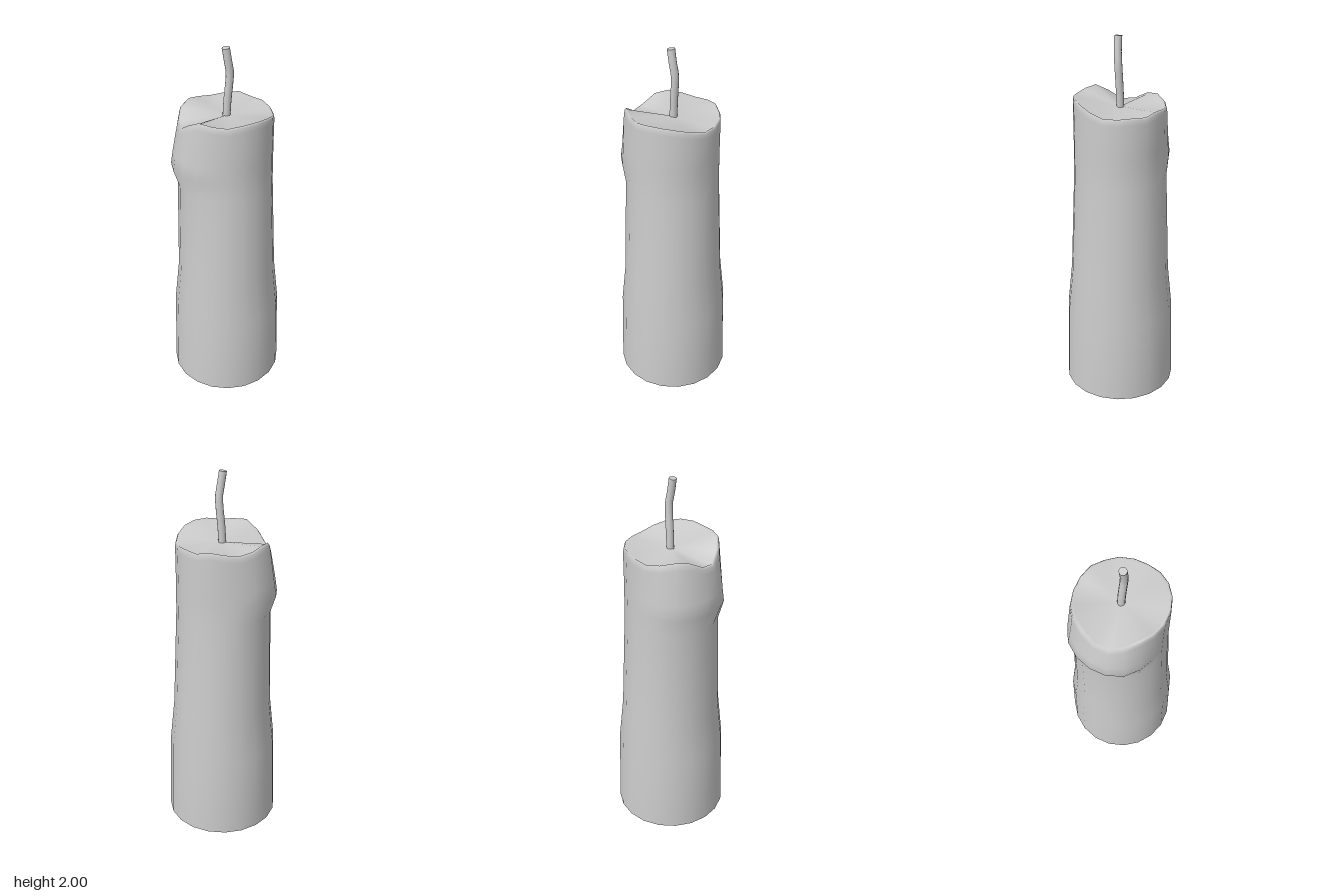
import * as THREE from 'three';

const SIDES = 20;
const wax = new THREE.MeshStandardMaterial({ color: 0xcccccc });

// Height of the melted rim at each of the sides, from +x round through +z
const RIM = [1.64, 1.64, 1.66, 1.68, 1.69, 1.69, 1.68, 1.685, 1.69, 1.65,
  1.60, 1.61, 1.65, 1.66, 1.645, 1.635, 1.645, 1.655, 1.64, 1.645];

// Strength (0..1) of the overflowed wax bulge, strongest towards -x and -z
function bulge(a) {
  const d = Math.abs(THREE.MathUtils.radToDeg(a) - 212);
  return 1 - THREE.MathUtils.smoothstep(d, 25, 90);
}

// Rows of the wax: radius, added bulge, height (below 0.1 means relative to the rim)
const ROWS = [
  { r: 0.307, b: 0, y: 0 },
  { r: 0.295, b: 0, y: 0.46 },
  { r: 0.27, b: 0, y: 0.7 },
  { r: 0.245, b: 0.013, y: 1.26 },
  { r: 0.244, b: 0.046, y: 1.36 },
  { r: 0.243, b: 0.035, y: 1.44 },
  { r: 0.243, b: 0.01, rim: -0.035 },
  { r: 0.241, b: 0.006, rim: -0.01 },
  { r: 0.235, b: 0.003, rim: 0 },
  { r: 0.226, b: 0.002, rim: -0.008 },
];

function buildWax() {
  const pos = [], index = [];
  for (const row of ROWS) {
    for (let i = 0; i < SIDES; i++) {
      const a = (i + 0.5) / SIDES * Math.PI * 2;
      const r = row.r + row.b * bulge(a);
      const y = row.rim === undefined ? row.y : RIM[i] + row.rim;
      pos.push(Math.cos(a) * r, y, Math.sin(a) * r);
    }
  }
  const last = (ROWS.length - 1) * SIDES;
  const centre = pos.length / 3;
  pos.push(0, 1.633, 0);
  for (let i = 0; i < SIDES; i++) {
    const n = (i + 1) % SIDES;
    for (let j = 0; j < last; j += SIDES) {
      index.push(j + i, j + SIDES + i, j + n, j + n, j + SIDES + i, j + SIDES + n);
    }
    // melted pool, a fan towards the wick
    index.push(last + i, centre, last + n);
  }
  const g = new THREE.BufferGeometry();
  g.setAttribute('position', new THREE.Float32BufferAttribute(pos, 3));
  g.setIndex(index);
  g.computeVertexNormals();
  return g;
}

export function createModel() {
  const group = new THREE.Group();
  group.name = 'candle';
  const add = (geometry, name) => {
    const mesh = new THREE.Mesh(geometry, wax);
    mesh.name = name;
    group.add(mesh);
    return mesh;
  };

  add(buildWax(), 'waxBody');
  add(new THREE.CircleGeometry(0.307, SIDES, Math.PI / SIDES).rotateX(Math.PI / 2), 'base');

  // Slightly bent wick
  const points = [[0, 1.6, -0.002], [0.004, 1.7, 0], [0.013, 1.87, 0.01], [0.004, 1.92, 0.011], [-0.008, 2, 0.007]]
    .map((p) => new THREE.Vector3(...p));
  const path = new THREE.CatmullRomCurve3(points);
  add(new THREE.TubeGeometry(path, 10, 0.02, 12), 'wick');
  const tip = add(new THREE.CircleGeometry(0.02, 12).rotateX(-Math.PI / 2), 'wickTip');
  tip.position.copy(points[4]);
  tip.quaternion.setFromUnitVectors(new THREE.Vector3(0, 1, 0), path.getTangent(1));

  return group;
}
